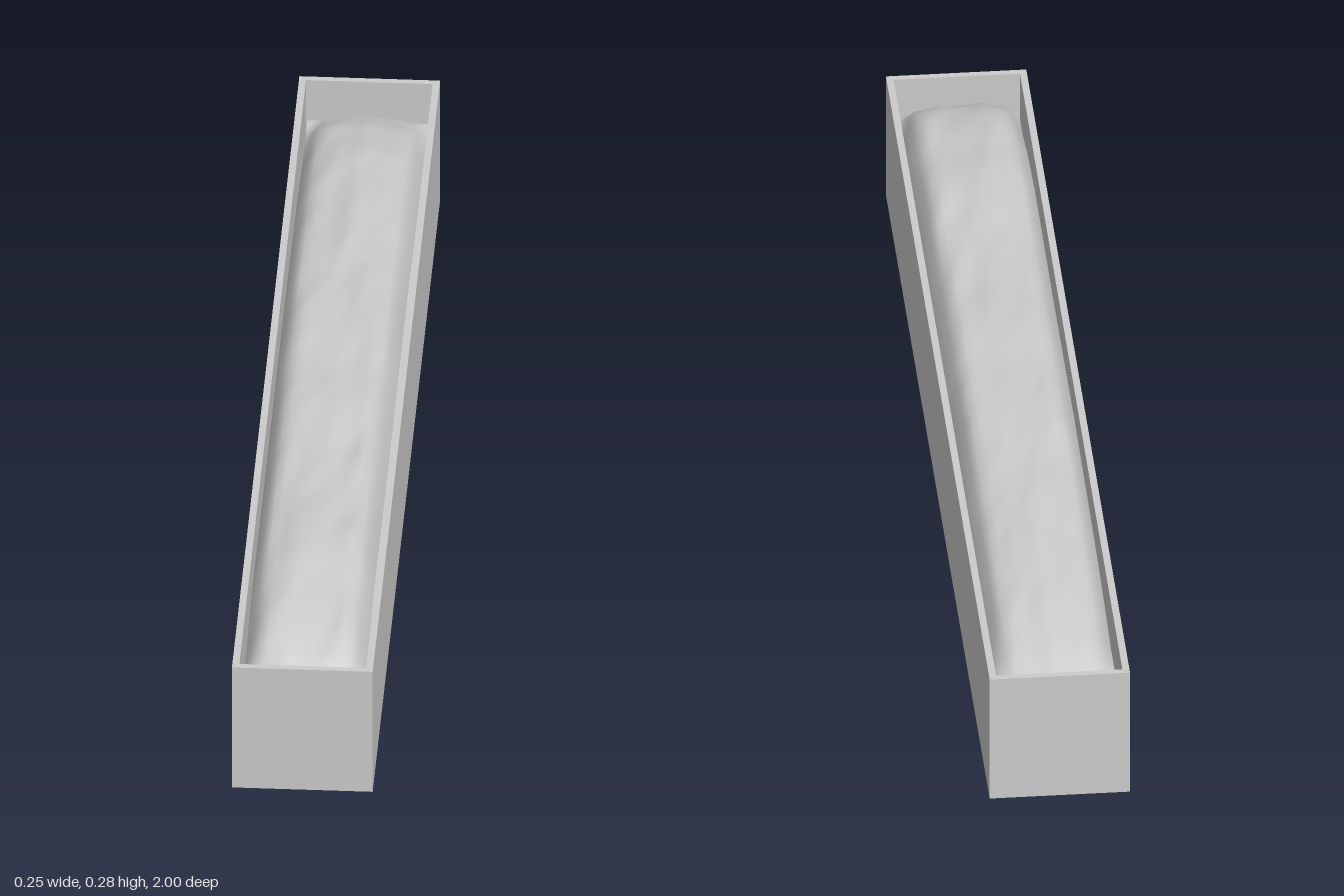
import * as THREE from 'three';

const W = 0.25, H = 0.25, L = 2, T = 0.0125;
const grey = (extra = {}) => new THREE.MeshStandardMaterial({ color: 0xcccccc, ...extra });

// Repeatable lumps for the soil: a hash smoothed over a grid
const hash = (i, j) => {
  const s = Math.sin(i * 127.1 + j * 311.7) * 43758.5453;
  return s - Math.floor(s);
};
function noise(x, z) {
  const i = Math.floor(x), j = Math.floor(z);
  const u = THREE.MathUtils.smoothstep(x - i, 0, 1), v = THREE.MathUtils.smoothstep(z - j, 0, 1);
  const { lerp } = THREE.MathUtils;
  return lerp(lerp(hash(i, j), hash(i + 1, j), u), lerp(hash(i, j + 1), hash(i + 1, j + 1), u), v) - 0.5;
}

// Four walls as one extruded frame
function createWalls() {
  const rect = (Type, w, l) => new Type([
    new THREE.Vector2(-w / 2, -l / 2), new THREE.Vector2(w / 2, -l / 2),
    new THREE.Vector2(w / 2, l / 2), new THREE.Vector2(-w / 2, l / 2),
  ]);
  const frame = rect(THREE.Shape, W, L);
  frame.holes.push(rect(THREE.Path, W - 2 * T, L - 2 * T));
  const geometry = new THREE.ExtrudeGeometry(frame, { depth: H, bevelEnabled: false });
  geometry.rotateX(-Math.PI / 2);
  const mesh = new THREE.Mesh(geometry, grey());
  mesh.name = 'planterWalls';
  return mesh;
}

function createFloor() {
  const mesh = new THREE.Mesh(new THREE.BoxGeometry(W - 2 * T, T, L - 2 * T), grey());
  mesh.position.y = T / 2;
  mesh.name = 'planterFloor';
  return mesh;
}

// Heaped soil: a long mound that drops steeply at the sides and gently at the ends
function createSoil() {
  const geometry = new THREE.PlaneGeometry(0.216, 1.925, 16, 64);
  geometry.rotateX(-Math.PI / 2);
  geometry.translate(0, 0, 0.005);
  const crest = [[-0.96, 0.195], [-0.88, 0.225], [-0.76, 0.248], [-0.6, 0.262], [-0.4, 0.27], [-0.1, 0.276],
    [0.3, 0.27], [0.65, 0.274], [0.78, 0.262], [0.87, 0.246], [0.94, 0.22], [0.97, 0.195]];
  const heightAt = (z) => {
    const k = Math.max(1, crest.findIndex(([c]) => c >= z));
    const [z0, y0] = crest[k - 1], [z1, y1] = crest[k];
    return THREE.MathUtils.lerp(y0, y1, THREE.MathUtils.clamp((z - z0) / (z1 - z0), 0, 1));
  };
  const p = geometry.attributes.position;
  for (let i = 0; i < p.count; i++) {
    const x = p.getX(i), z = p.getZ(i);
    const side = Math.min(1, Math.abs(x) / 0.108);
    const lumps = noise(x * 28 + 9, z * 7) * 0.012 + noise(x * 60, z * 16 + 5) * 0.005;
    const y = heightAt(z) - 0.006 * side ** 2 - 0.05 * side ** 8 + lumps * (1 - side ** 8);
    p.setY(i, Math.max(0.185, y));
  }
  geometry.computeVertexNormals();
  const mesh = new THREE.Mesh(geometry, grey({ side: THREE.DoubleSide }));
  mesh.name = 'soil';
  return mesh;
}

export function createModel() {
  const group = new THREE.Group();
  group.name = 'planterBox';
  group.add(createWalls(), createFloor(), createSoil());
  return group;
}
